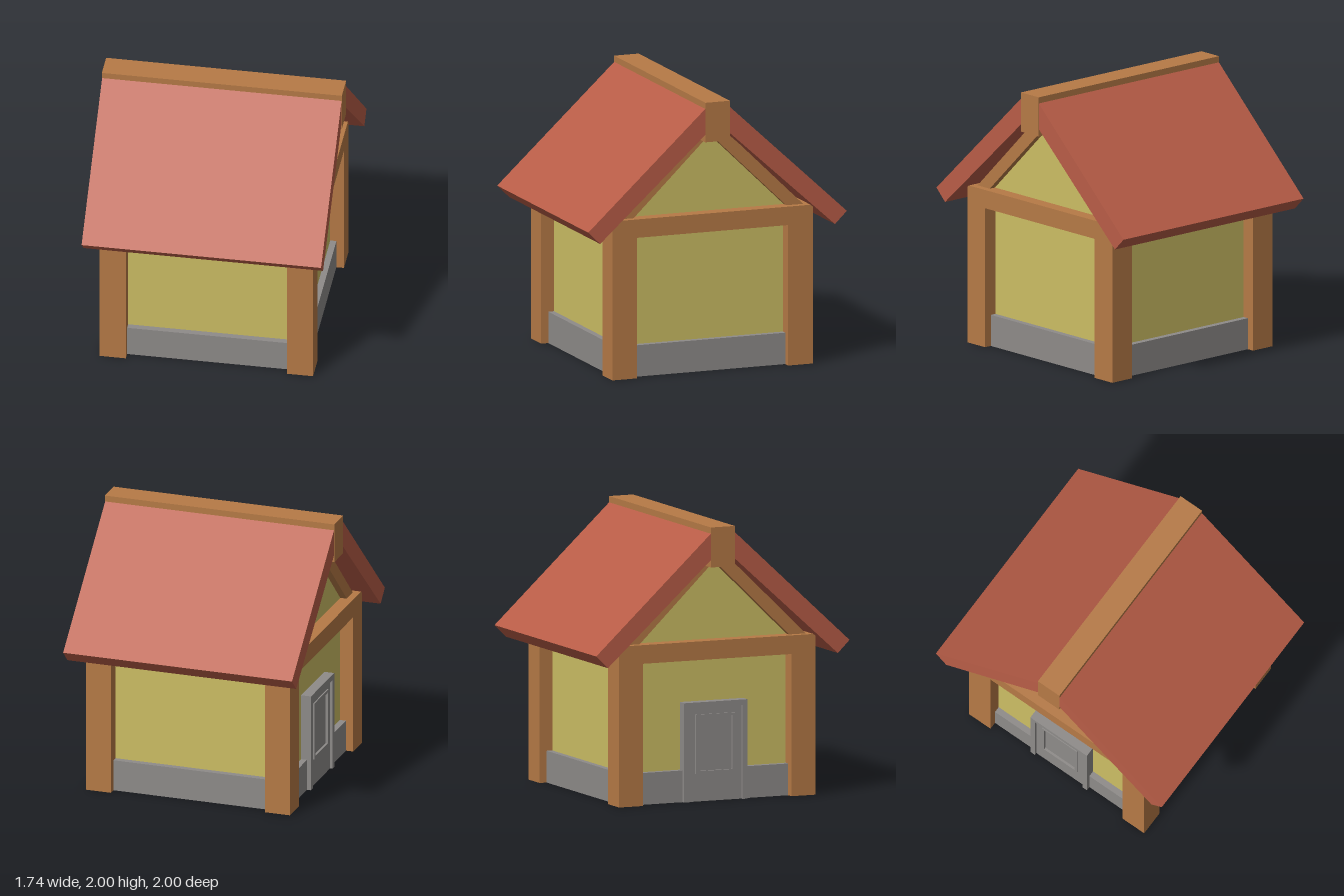
import * as THREE from 'three';

const mat = (name, color) => {
  const m = new THREE.MeshStandardMaterial({ color });
  m.name = name;
  return m;
};

export function createModel() {
  const house = new THREE.Group();
  house.name = 'house';
  const timber = mat('timber', 0xb67a46);
  const plaster = mat('plaster', 0xccbe64);
  const stone = mat('stone', 0x8e8b89);
  const tile = mat('roof tile', 0xb95d47);

  const add = (name, geo, material, parent = house) => {
    const mesh = new THREE.Mesh(geo, material);
    mesh.name = name;
    parent.add(mesh);
    return mesh;
  };
  // Box given by its minimum and maximum on each axis
  const box = (name, material, [x0, x1], [y0, y1], [z0, z1], parent) => {
    const geo = new THREE.BoxGeometry(x1 - x0, y1 - y0, z1 - z0);
    geo.translate((x0 + x1) / 2, (y0 + y1) / 2, (z0 + z1) / 2);
    return add(name, geo, material, parent);
  };
  // Prism with a (z, y) outline, running along x; side = -1 mirrors it in z
  const prism = (name, material, points, x0, x1, side = 1) => {
    const shape = new THREE.Shape(points.map(([z, y]) => new THREE.Vector2(-z * side, y)));
    const geo = new THREE.ExtrudeGeometry(shape, { depth: x1 - x0, bevelEnabled: false });
    geo.rotateY(Math.PI / 2).translate(x0, 0, 0);
    return add(name, geo, material);
  };
  const range = (a, b, s) => (s > 0 ? [a, b] : [-b, -a]);

  // Plinth, walls and gables
  box('plinth', stone, [-0.72, 0.72], [0, 0.23], [-0.72, 0.72]);
  box('walls', plaster, [-0.675, 0.675], [0.23, 1.16], [-0.675, 0.675]);
  prism('gableWall', plaster, [[-0.65, 1.16], [0.65, 1.16], [0, 1.78]], -0.675, 0.675);

  const sides = [-1, 1];
  for (const s of sides) {
    const outer = range(0.585, 0.775, s);
    // Corner posts
    for (const t of sides) box('cornerPost', timber, outer, [0, 1.165], range(0.585, 0.775, t));
    // Top beams between the posts
    box('sideBeam', timber, outer, [1.03, 1.165], [-0.585, 0.585]);
    box('longBeam', timber, [-0.585, 0.585], [1.03, 1.165], outer);
    // Gable rafters
    const [r0, r1] = range(0.64, 0.725, s);
    for (const t of sides) {
      prism('rafter', timber,
        [[0.72, 1.165], [0.59, 1.165], [0, 1.735], [0, 1.865]], r0, r1, t);
    }
    // Roof slopes
    prism('roofSlope', tile,
      [[1, 1.12], [0.908, 1.03], [0.06, 1.795], [0.06, 1.987]], -0.87, 0.87, s);
  }
  box('ridgeBeam', timber, [-0.872, 0.872], [1.71, 2], [-0.095, 0.095]);

  // Door on the right wall: frame, leaf with a recessed panel
  const door = new THREE.Group();
  door.name = 'door';
  house.add(door);
  for (const s of sides) box('doorJamb', stone, [-0.75, -0.66], [0, 0.72], range(0.21, 0.25, s), door);
  box('doorLintel', stone, [-0.75, -0.66], [0.68, 0.72], [-0.21, 0.21], door);

  const rect = (Kind, w, y0, y1) => new Kind([[-w, y0], [w, y0], [w, y1], [-w, y1]]
    .map(([x, y]) => new THREE.Vector2(x, y)));
  const ring = (name, w, y0, y1, hw, h0, h1, x0, x1) => {
    const shape = rect(THREE.Shape, w, y0, y1);
    shape.holes.push(rect(THREE.Path, hw, h0, h1));
    const geo = new THREE.ExtrudeGeometry(shape, { depth: x1 - x0, bevelEnabled: false });
    geo.rotateY(Math.PI / 2).translate(x0, 0, 0);
    add(name, geo, stone, door);
  };
  ring('doorLeaf', 0.21, 0, 0.68, 0.155, 0.2, 0.63, -0.732, -0.66);
  ring('doorMoulding', 0.155, 0.2, 0.63, 0.135, 0.22, 0.61, -0.742, -0.66);
  box('doorPanel', stone, [-0.725, -0.66], [0.22, 0.61], [-0.135, 0.135], door);

  return house;
}
